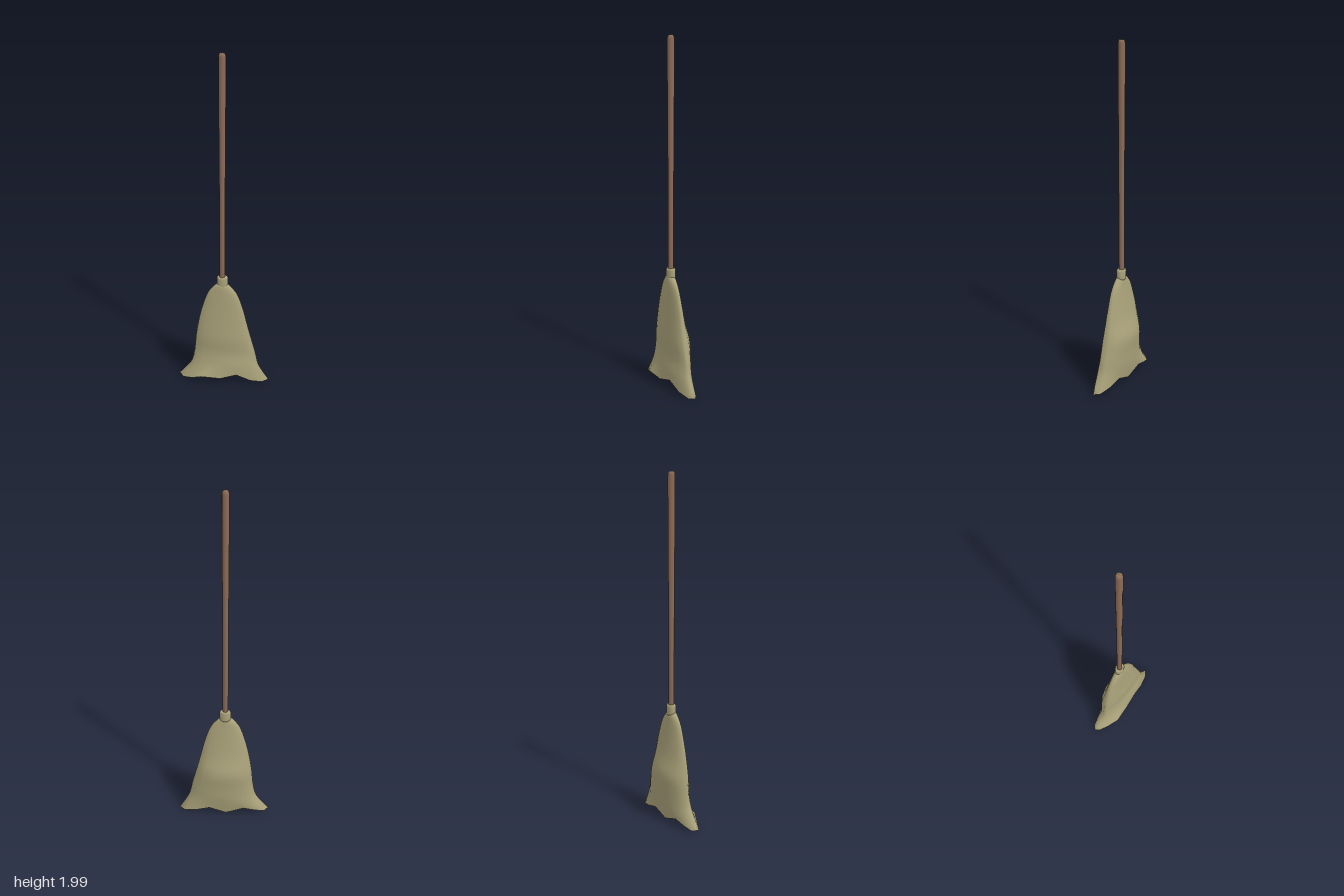
import * as THREE from 'three';

const straw = new THREE.MeshStandardMaterial({ color: 0xaaa27a });
straw.name = 'straw';
const wood = new THREE.MeshStandardMaterial({ color: 0x8b6b57 });
wood.name = 'wood';

const N = 16; // points around the broom head

// Joins closed rings of points (top to bottom) into a smooth surface
function loft(rings) {
  const index = [];
  for (let i = 0; i < rings.length - 1; i++) {
    for (let j = 0; j < N; j++) {
      const k = (j + 1) % N;
      const a = i * N + j, a2 = i * N + k, b = a + N, b2 = a2 + N;
      index.push(a, a2, b, b, a2, b2);
    }
  }
  const geo = new THREE.BufferGeometry().setFromPoints(rings.flat());
  geo.setIndex(index);
  geo.computeVertexNormals();
  return geo;
}

function add(group, name, geometry, material) {
  const mesh = new THREE.Mesh(geometry, material);
  mesh.name = name;
  group.add(mesh);
  return mesh;
}

export function createModel() {
  const group = new THREE.Group();
  group.name = 'broom';

  // Head sections: y, right edge, left edge, front depth, back depth
  const sections = [
    [0.665, -0.035, 0.018, 0.016, 0.016],
    [0.645, -0.058, 0.038, 0.023, 0.025],
    [0.6, -0.092, 0.075, 0.026, 0.029],
    [0.5, -0.127, 0.112, 0.03, 0.04],
    [0.4, -0.15, 0.137, 0.036, 0.056],
    [0.3, -0.166, 0.163, 0.043, 0.081],
    [0.2, -0.176, 0.19, 0.041, 0.074],
    [0.12, -0.196, 0.209, 0.056, 0.068],
  ];
  const rings = sections.map(([y, x0, x1, front, back]) =>
    Array.from({ length: N }, (_, j) => {
      const t = (j / N) * Math.PI * 2;
      const s = Math.sin(t);
      return new THREE.Vector3(
        (x0 + x1) / 2 + ((x1 - x0) / 2) * Math.cos(t), y, s * (s > 0 ? front : back));
    }));

  // Wavy hem, running from the left tip round the front and back again
  const hem = [
    [0.27, 0.015, -0.004], [0.235, 0.01, 0.022], [0.165, 0.028, 0.043], [0.08, 0.07, 0.055],
    [-0.015, 0.045, 0.066], [-0.13, 0.06, 0.08], [-0.19, 0.03, 0.053], [-0.245, 0.016, 0.025],
    [-0.27, 0.028, 0], [-0.245, 0.02, -0.026], [-0.19, 0.035, -0.042], [-0.12, 0.052, -0.05],
    [-0.015, 0.016, -0.05], [0.085, 0.052, -0.054], [0.165, 0.03, -0.05], [0.235, 0.012, -0.03],
  ].map((p) => new THREE.Vector3(...p));
  rings.push(hem);

  // Smooth each column from neck to hem
  const steps = 32;
  const columns = hem.map((_, j) =>
    new THREE.CatmullRomCurve3(rings.map((r) => r[j])).getPoints(steps));
  const smooth = Array.from({ length: steps + 1 }, (_, i) => columns.map((c) => c[i]));
  add(group, 'bristleHead', loft(smooth), straw);

  // Hollowed underside
  const hollow = new THREE.Vector3(-0.005, 0.07, 0.003);
  const under = [0, 0.4, 0.999].map((f) => hem.map((p) => p.clone().lerp(hollow, f)));
  add(group, 'underside', loft(under), wood);

  // Oval binding collar
  const collar = add(group, 'collar', new THREE.LatheGeometry(
    [[0, 0.64], [0.03, 0.643], [0.033, 0.652], [0.033, 0.695], [0.029, 0.705], [0, 0.705]]
      .map(([x, y]) => new THREE.Vector2(x, y)), 20), straw);
  collar.scale.z = 0.75;
  collar.position.set(-0.008, 0, -0.003);

  // Handle, slightly thicker towards its rounded top
  const handle = add(group, 'handle', new THREE.LatheGeometry(
    [[0, 0.66], [0.016, 0.66], [0.016, 1.2], [0.019, 1.7], [0.02, 1.98], [0.017, 1.993], [0.011, 2], [0, 2]]
      .map(([x, y]) => new THREE.Vector2(x, y)), 12), wood);
  handle.position.set(-0.009, 0, -0.003);

  return group;
}
